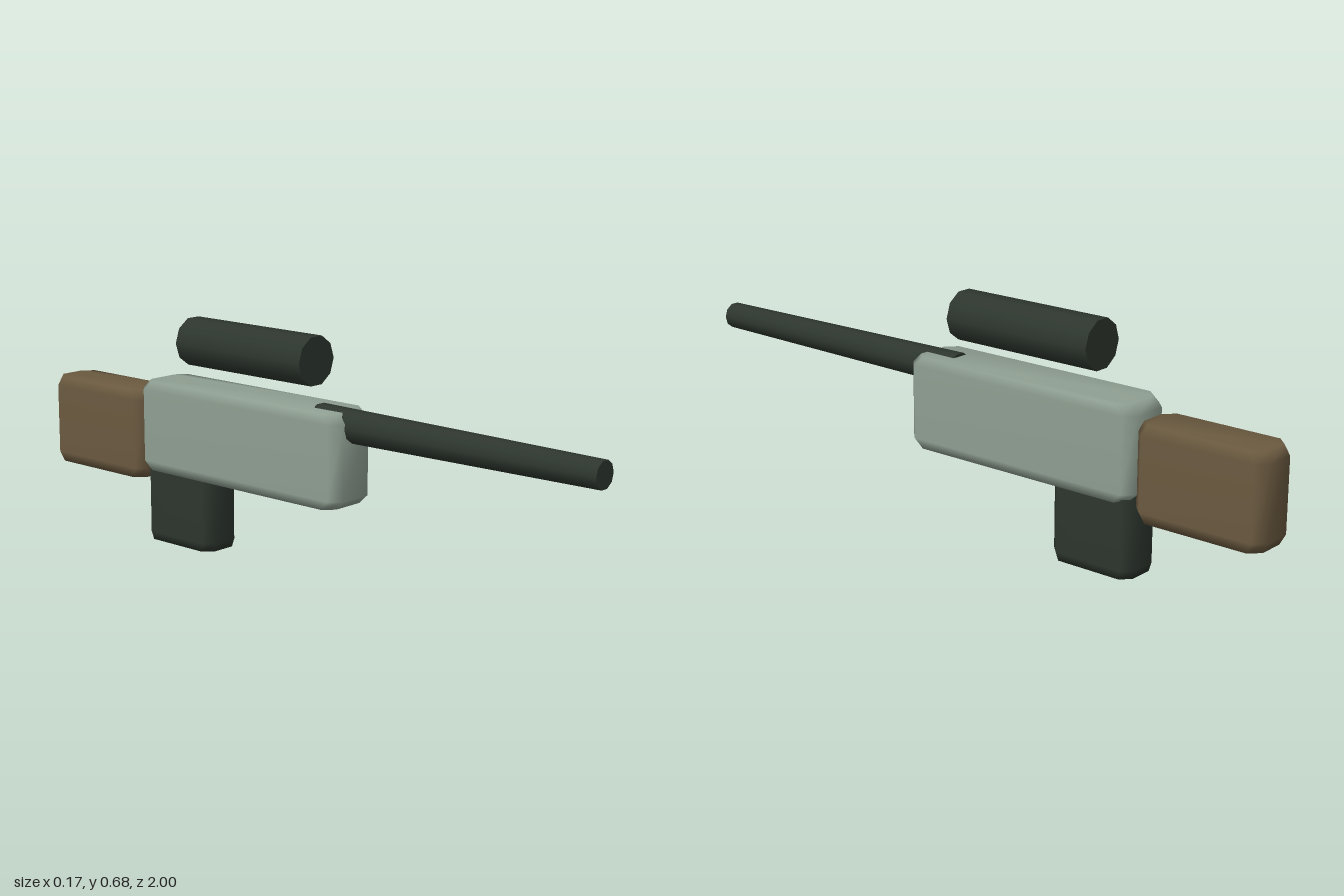
import * as THREE from 'three';

const mat = (name, color) => new THREE.MeshStandardMaterial({ name, color });

// Block with chamfered upright corners and a bevel round the top and bottom.
// half = half width (x), y and z are [min, max], c = corner cut,
// bevel = [inset in x, height, inset in z]
function chamferedBlock(half, [y0, y1], [z0, z1], c, [ax, ay, az]) {
  const cz = (z0 + z1) / 2, hz = (z1 - z0) / 2;
  const rings = [[y0, ax, az], [y0 + ay, 0, 0], [y1 - ay, 0, 0], [y1, ax, az]];
  const pos = [], index = [];
  for (const [y, ix, iz] of rings) {
    const w = half - ix, d = hz - iz;
    const outline = [[w, d - c], [w, c - d], [w - c, -d], [c - w, -d],
      [-w, c - d], [-w, d - c], [c - w, d], [w - c, d]];
    for (const [x, z] of outline) pos.push(x, y, cz + z);
  }
  for (let r = 0; r < 3; r++) {
    for (let i = 0; i < 8; i++) {
      const a = r * 8 + i, b = r * 8 + (i + 1) % 8;
      index.push(a, b, b + 8, a, b + 8, a + 8);
    }
  }
  for (let i = 1; i < 7; i++) {
    index.push(0, i + 1, i);            // underside
    index.push(24, 24 + i, 25 + i);     // top
  }
  const g = new THREE.BufferGeometry();
  g.setAttribute('position', new THREE.Float32BufferAttribute(pos, 3));
  g.setIndex(index);
  g.computeVertexNormals();
  return g;
}

// Ten-sided rod along z with flats on top and bottom
function rod(rFront, rBack, y, zBack, zFront) {
  const g = new THREE.CylinderGeometry(rFront, rBack, zFront - zBack, 10, 1, false, Math.PI / 2);
  g.rotateX(Math.PI / 2);
  g.translate(0, y, (zBack + zFront) / 2);
  return g;
}

export function createModel() {
  const group = new THREE.Group();
  const paleGreen = mat('paleGreen', 0x8f9f92);
  const darkGreen = mat('darkGreen', 0x2d362e);
  const brown = mat('brown', 0x6b5a40);

  const add = (name, geometry, material) => {
    const mesh = new THREE.Mesh(geometry, material);
    mesh.name = name;
    group.add(mesh);
  };

  add('body', chamferedBlock(0.083, [0.22, 0.49], [-0.6, 0.19], 0.03, [0.004, 0.027, 0.027]), paleGreen);
  add('stock', chamferedBlock(0.074, [0.18, 0.45], [-1, -0.595], 0.03, [0.006, 0.03, 0.015]), brown);
  add('grip', chamferedBlock(0.068, [0, 0.26], [-0.59, -0.32], 0.027, [0.004, 0.025, 0.006]), darkGreen);
  add('barrel', rod(0.039, 0.049, 0.451, 0.06, 1), darkGreen);
  add('scope', rod(0.0725, 0.0725, 0.616, -0.44, 0.045), darkGreen);

  return group;
}
